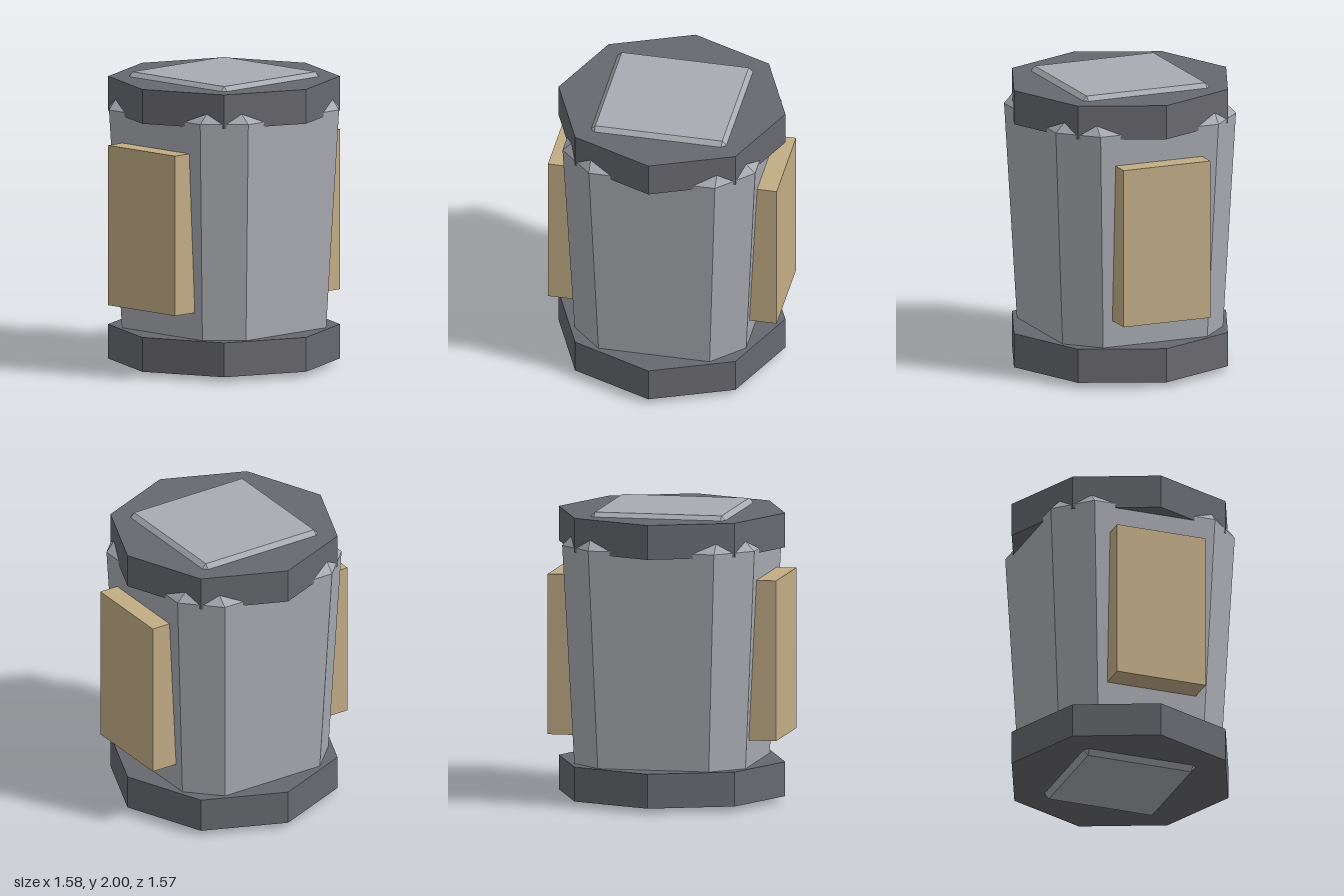
import * as THREE from 'three';
import { ConvexGeometry } from 'three/addons/geometries/ConvexGeometry.js';

function material(name, color) {
  const m = new THREE.MeshStandardMaterial({ color });
  m.name = name;
  return m;
}

export function createModel() {
  const model = new THREE.Group();
  model.name = 'bandedCanister';
  const lightGrey = material('light grey metal', 0xa8abb1);
  const darkGrey = material('dark grey metal', 0x68696f);
  const tan = material('tan panel', 0xc2ad86);

  const add = (name, geometry, mat, x, y, z) => {
    const mesh = new THREE.Mesh(geometry, mat);
    mesh.name = name;
    mesh.position.set(x, y, z);
    model.add(mesh);
  };

  // Tapered block with every edge chamfered: each end has a flat face and a wider shoulder
  const points = [];
  const ends = [
    { faceY: 0, shoulderY: 0.24, flat: 0.383, wide: 0.591, face: 0.373 },
    { faceY: 2, shoulderY: 1.765, flat: 0.435, wide: 0.665, face: 0.438 },
  ];
  for (const e of ends) {
    for (const sx of [-1, 1]) {
      for (const sz of [-1, 1]) {
        points.push(
          new THREE.Vector3(sx * e.face, e.faceY, sz * e.face),
          new THREE.Vector3(sx * e.wide, e.shoulderY, sz * e.flat),
          new THREE.Vector3(sx * e.flat, e.shoulderY, sz * e.wide),
        );
      }
    }
  }
  add('body', new ConvexGeometry(points), lightGrey, 0, 0, 0);

  // Eight-sided end bands, corners on the axes
  const band = new THREE.CylinderGeometry(0.783, 0.783, 0.235, 8).toNonIndexed();
  band.computeVertexNormals();
  add('bottomBand', band, darkGrey, 0, 0.153, 0);
  add('topBand', band, darkGrey, 0, 1.852, 0);

  // Side panels sunk into the body
  const panel = new THREE.BoxGeometry(0.29, 1.095, 0.64);
  add('leftPanel', panel, tan, 0.645, 1.003, 0);
  add('rightPanel', panel, tan, -0.645, 1.003, 0);

  return model;
}
